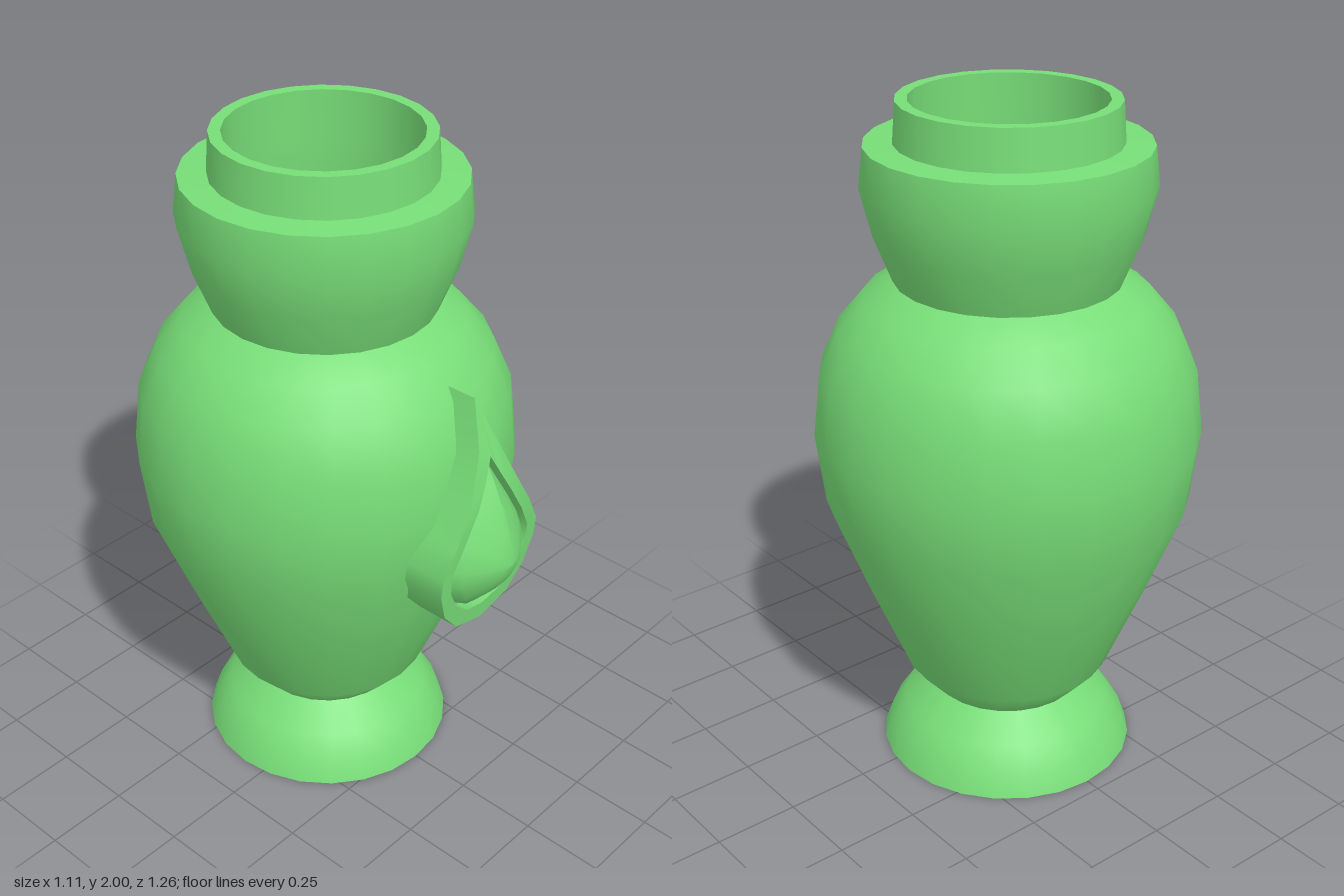
import * as THREE from 'three';
import { toCreasedNormals } from 'three/addons/utils/BufferGeometryUtils.js';

const AXIS_Z = -0.073;
const material = new THREE.MeshStandardMaterial({ color: 0x77dd77 });

function addMesh(group, name, geometry) {
  const mesh = new THREE.Mesh(geometry, material);
  mesh.name = name;
  group.add(mesh);
  return mesh;
}

// Turned part: each profile is smooth along its length, sharp where the next part begins.
function turn(group, name, profile) {
  const points = profile.map(([r, y]) => new THREE.Vector2(r, y));
  addMesh(group, name, new THREE.LatheGeometry(points, 24)).position.z = AXIS_Z;
}

// Closed teardrop loop, anticlockwise from the tip, from its right half.
function mirrorLoop(half) {
  const left = half.map(([x, y]) => [-x, y]);
  return left.concat(half.slice(1, -1).reverse());
}

// Skin a list of equally long closed rings of [x, y, z].
function skin(rings, crease) {
  const n = rings[0].length;
  const index = [];
  for (let r = 0; r < rings.length - 1; r++) {
    for (let i = 0; i < n; i++) {
      const j = (i + 1) % n;
      const a = r * n + i, b = r * n + j, c = a + n, d = b + n;
      index.push(a, b, c, b, d, c);
    }
  }
  const geometry = new THREE.BufferGeometry();
  geometry.setAttribute('position', new THREE.Float32BufferAttribute(rings.flat(2), 3));
  geometry.setIndex(index);
  return toCreasedNormals(geometry, crease);
}

// Depth of the medallion's curved front face at a height.
function frontZ(y) {
  const stops = [[0.69, 0.527], [0.92, 0.55], [1.08, 0.56], [1.21, 0.54], [1.355, 0.497], [1.4, 0.465]];
  for (let i = 1; i < stops.length; i++) {
    const [y0, z0] = stops[i - 1], [y1, z1] = stops[i];
    if (y <= y1) return THREE.MathUtils.mapLinear(y, y0, y1, z0, z1);
  }
  return 0.465;
}

export function createModel() {
  const model = new THREE.Group();
  model.name = 'vase';

  // Foot, belly and collar
  turn(model, 'footBase', [[0, 0], [0.38, 0]]);
  turn(model, 'foot', [[0.38, 0], [0.357, 0.065], [0.31, 0.135], [0.228, 0.205]]);
  turn(model, 'body', [
    [0.228, 0.205], [0.308, 0.295], [0.428, 0.58], [0.53, 0.84], [0.556, 1.05],
    [0.535, 1.235], [0.48, 1.36], [0.405, 1.45], [0.322, 1.5],
  ]);
  turn(model, 'collar', [[0.322, 1.5], [0.373, 1.63], [0.408, 1.77], [0.395, 1.88]]);
  turn(model, 'collarTop', [[0.395, 1.88], [0.314, 1.885]]);

  // Lip and hollow inside
  turn(model, 'lip', [[0.314, 1.885], [0.306, 2]]);
  turn(model, 'lipTop', [[0.306, 2], [0.272, 2]]);
  turn(model, 'innerWall', [
    [0.272, 2], [0.275, 1.85], [0.28, 1.5], [0.36, 1.42], [0.44, 1.3], [0.48, 1.05],
    [0.45, 0.84], [0.35, 0.58], [0.22, 0.32], [0.11, 0.25],
  ]);
  turn(model, 'innerFloor', [[0.11, 0.25], [0, 0.25]]);

  // Teardrop medallion on the front
  const outer = mirrorLoop([
    [0, 1.395], [0.04, 1.265], [0.1, 1.13], [0.158, 1.03], [0.205, 0.94],
    [0.205, 0.88], [0.175, 0.79], [0.112, 0.718], [0, 0.688],
  ]);
  const inner = mirrorLoop([
    [0, 1.238], [0.032, 1.175], [0.07, 1.107], [0.125, 1.015], [0.165, 0.935],
    [0.162, 0.87], [0.122, 0.795], [0.068, 0.755], [0, 0.742],
  ]);
  const medallion = new THREE.Group();
  medallion.name = 'medallion';
  model.add(medallion);

  const rim = [
    outer.map(([x, y]) => [x, y, 0.27]),
    outer.map(([x, y]) => [x, y, frontZ(y)]),
    inner.map(([x, y]) => [x, y, frontZ(y)]),
    inner.map(([x, y]) => [x, y, frontZ(y) - 0.04]),
  ];
  addMesh(medallion, 'teardropRim', skin(rim, 0.7));

  // Domed gem, set slightly inside the rim
  const apex = [0, 0.92, 0.627];
  const gem = [1, 0.95, 0.8, 0.6, 0.4, 0.2, 0.001].map((t) => inner.map(([x, y]) => {
    const edge = frontZ(y) - 0.02;
    const rise = 1 - Math.pow(t, 1.6);
    const s = t * 0.975;
    return [x * s, apex[1] + (y - apex[1]) * s, t === 1 ? edge - 0.03 : edge + (apex[2] - edge) * rise];
  }));
  addMesh(medallion, 'teardropGem', skin(gem, 0.9));

  return model;
}
